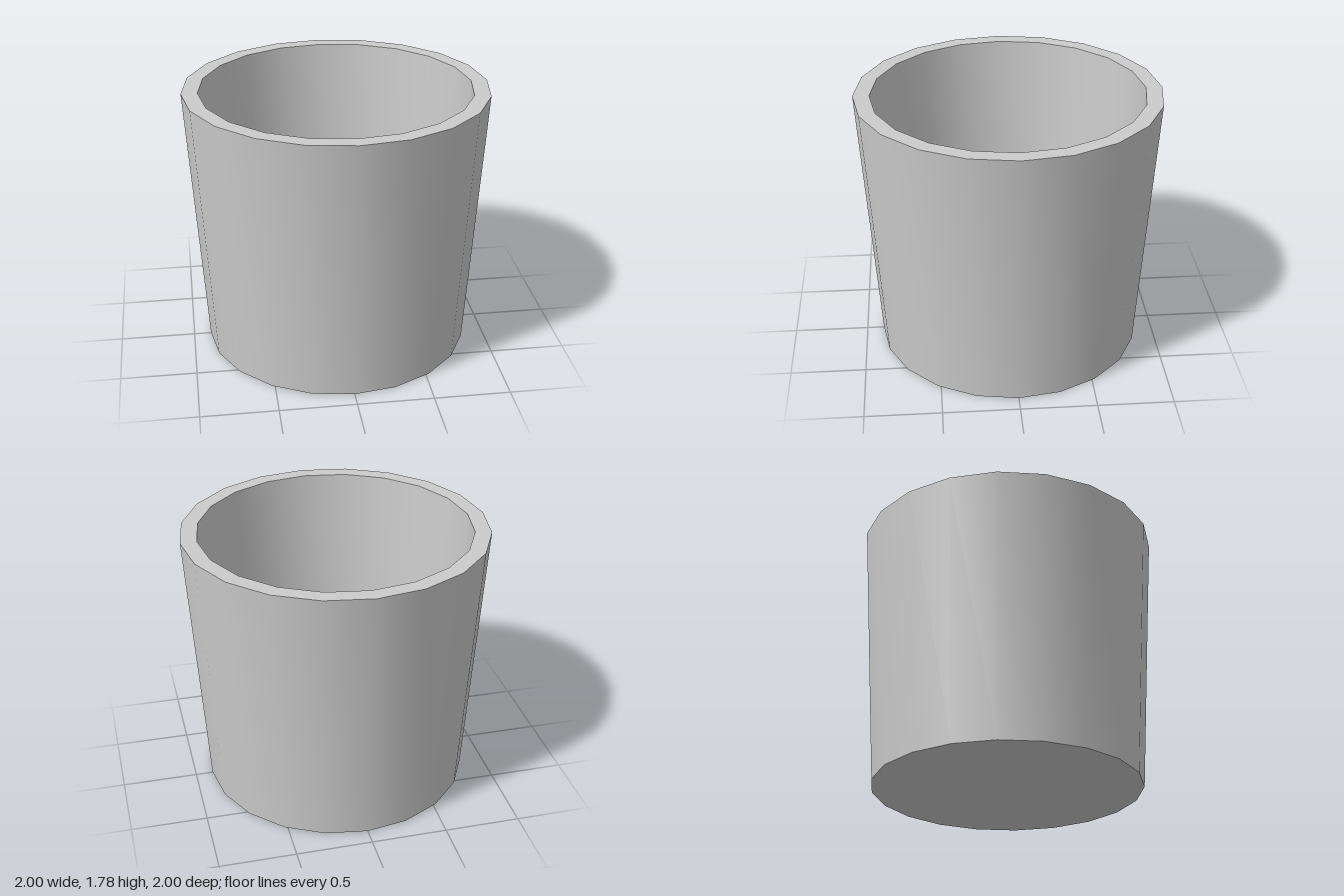
import * as THREE from 'three';
import { toCreasedNormals } from 'three/addons/utils/BufferGeometryUtils.js';

const SIDES = 20;
const HEIGHT = 1.78;
const FLOOR = 0.13;

export function createModel() {
  const model = new THREE.Group();
  model.name = 'taperedPot';

  // Closed profile: underside, outer wall, flat rim, inner wall, inside floor
  const profile = [
    [0, 0],
    [0.885, 0],
    [1, HEIGHT],
    [0.893, HEIGHT],
    [0.797, FLOOR],
    [0, FLOOR],
  ].map(([r, y]) => new THREE.Vector2(r, y));

  // Smooth around the walls, sharp at the rim and floor edges
  const geometry = toCreasedNormals(new THREE.LatheGeometry(profile, SIDES), 0.6);
  const pot = new THREE.Mesh(geometry, new THREE.MeshStandardMaterial({ color: 0xcccccc }));
  pot.name = 'pot';
  model.add(pot);

  return model;
}
